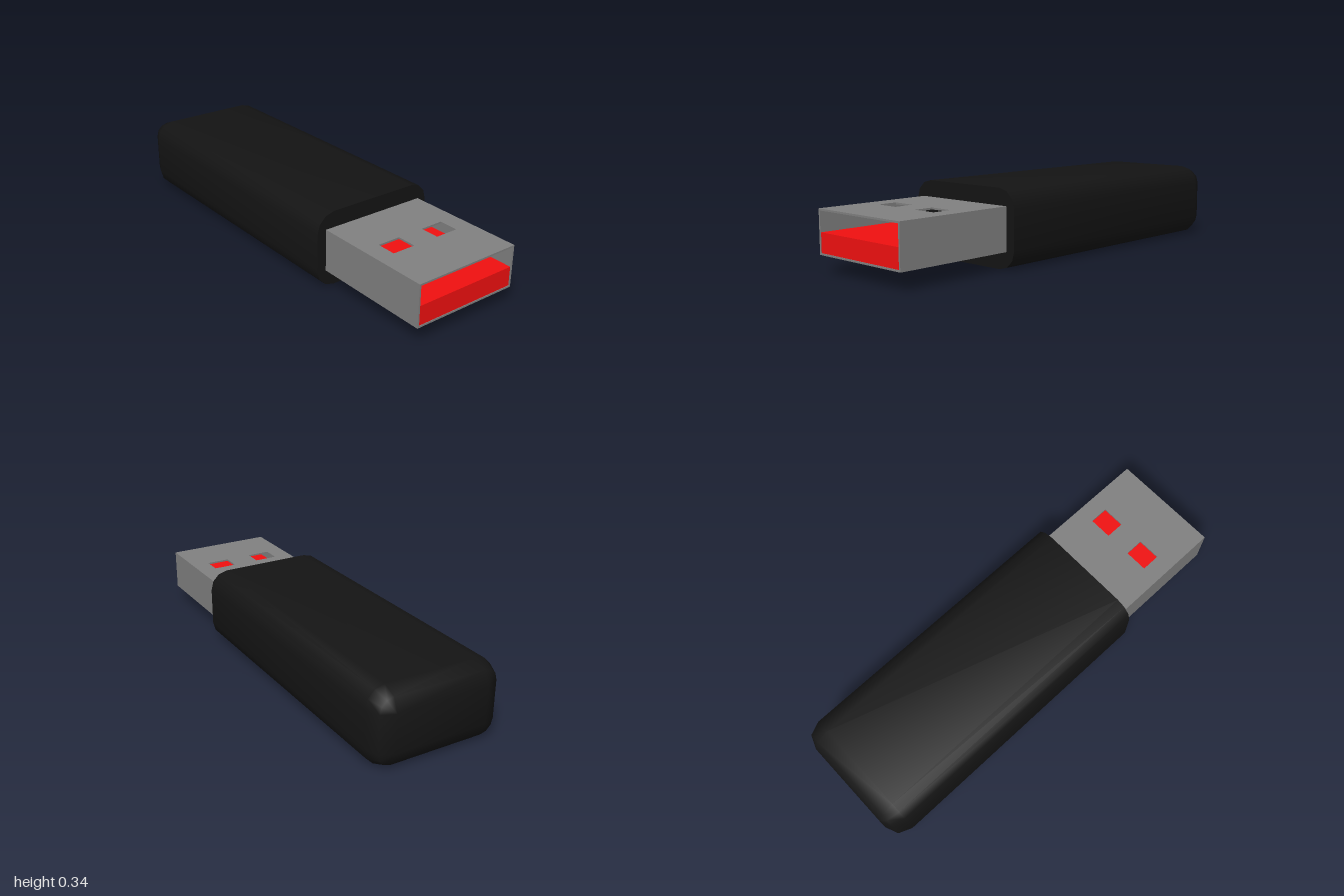
import * as THREE from 'three';
import { toCreasedNormals } from 'three/addons/utils/BufferGeometryUtils.js';

const FRONT = 1, SEAM = 0.44, BACK = -1;

// Rounded rectangle ring around the z axis, counterclockwise seen from +z
function ring(hx, hy, cy, r, shrink, z) {
  const points = [];
  [[1, 1], [-1, 1], [-1, -1], [1, -1]].forEach(([sx, sy], corner) => {
    for (let k = 0; k <= 3; k++) {
      const a = (corner + k / 3) * Math.PI / 2;
      points.push(new THREE.Vector3(
        sx * (hx - r) + r * shrink * Math.cos(a),
        cy + sy * (hy - r) + r * shrink * Math.sin(a), z));
    }
  });
  return points;
}

// Casing: flat at the front, rounded over at the back
function casingGeometry() {
  const hx = 0.302, hy = 0.172, cy = 0.172, r = 0.086;
  const rings = [ring(hx, hy, cy, r, 1, SEAM)];
  for (let k = 0; k <= 2; k++) {
    const a = k * Math.PI / 4;
    rings.push(ring(hx, hy, cy, r, Math.cos(a), BACK + r - r * Math.sin(a)));
  }
  const pos = [];
  const tri = (a, b, c) => {
    if (new THREE.Triangle(a, b, c).getArea() < 1e-8) return;
    for (const p of [a, b, c]) pos.push(p.x, p.y, p.z);
  };
  const n = rings[0].length;
  const frontCentre = new THREE.Vector3(0, cy, SEAM);
  const backCentre = new THREE.Vector3(0, cy, BACK);
  for (let i = 0; i < n; i++) {
    const j = (i + 1) % n;
    for (let k = 0; k < rings.length - 1; k++) {
      const f = rings[k], b = rings[k + 1];
      tri(f[i], b[i], f[j]);
      tri(f[j], b[i], b[j]);
    }
    const last = rings[rings.length - 1];
    tri(frontCentre, rings[0][i], rings[0][j]);
    tri(backCentre, last[j], last[i]);
  }
  const geo = new THREE.BufferGeometry();
  geo.setAttribute('position', new THREE.Float32BufferAttribute(pos, 3));
  geo.computeVertexNormals();
  return toCreasedNormals(geo, 0.9);
}

// Rectangle outline from its corners
function rect(Type, x0, y0, x1, y1) {
  return new Type([[x0, y0], [x1, y0], [x1, y1], [x0, y1]].map(p => new THREE.Vector2(...p)));
}

export function createModel() {
  const model = new THREE.Group();
  const black = new THREE.MeshStandardMaterial({ color: 0x141414 });
  const metal = new THREE.MeshStandardMaterial({ color: 0x808080 });
  const red = new THREE.MeshStandardMaterial({ color: 0xf01010 });

  const add = (parent, name, geo, mat, x = 0, y = 0, z = 0) => {
    const mesh = new THREE.Mesh(geo, mat);
    mesh.name = name;
    mesh.position.set(x, y, z);
    parent.add(mesh);
    return mesh;
  };

  add(model, 'casing', casingGeometry(), black);

  // Hollow metal plug made of four thin plates
  const plug = new THREE.Group();
  plug.name = 'plugShell';
  model.add(plug);
  const hw = 0.258, y0 = 0.078, y1 = 0.27, t = 0.008;
  const length = FRONT - SEAM, midZ = (FRONT + SEAM) / 2;

  // Top plate with two latch windows; shape y becomes -z
  const top = rect(THREE.Shape, -hw, -FRONT, hw, -SEAM);
  for (const x of [-0.118, 0.118]) {
    top.holes.push(rect(THREE.Path, x - 0.055, -0.762, x + 0.055, -0.672));
  }
  const topGeo = new THREE.ExtrudeGeometry(top, { depth: t, bevelEnabled: false });
  topGeo.rotateX(-Math.PI / 2);
  add(plug, 'plugTop', topGeo, metal, 0, y1 - t, 0);

  add(plug, 'plugBottom', new THREE.BoxGeometry(2 * hw, t, length), metal, 0, y0 + t / 2, midZ);
  for (const [name, side] of [['plugLeftSide', 1], ['plugRightSide', -1]]) {
    add(plug, name, new THREE.BoxGeometry(t, y1 - y0 - 2 * t, length), metal,
      side * (hw - t / 2), (y0 + y1) / 2, midZ);
  }

  // Contact block filling the lower half of the plug
  const blockHeight = 0.172 - y0 - t;
  add(model, 'contactBlock', new THREE.BoxGeometry(2 * (hw - t), blockHeight, length - 0.003), red,
    0, y0 + t + blockHeight / 2, midZ - 0.0015);

  return model;
}
